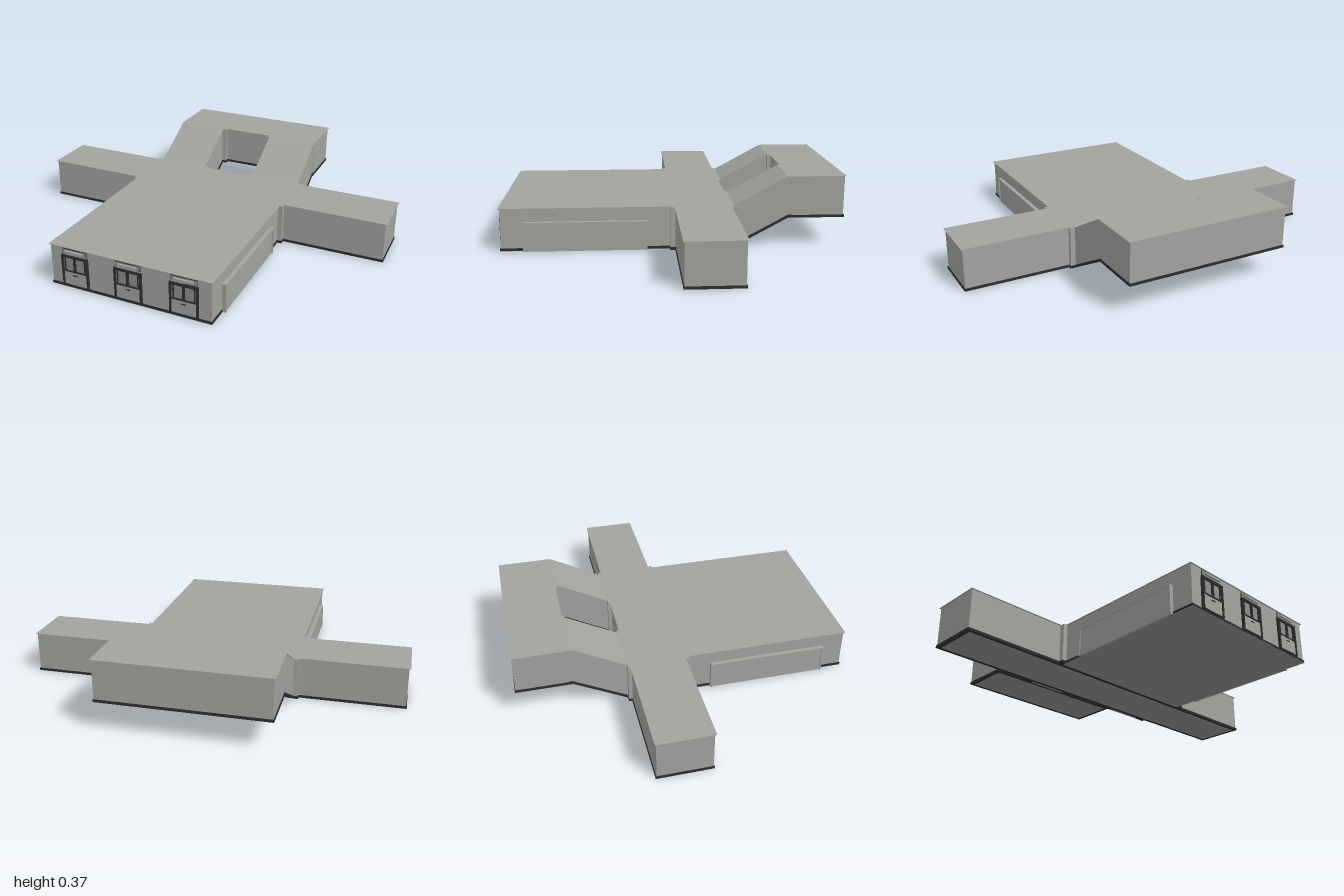
import * as THREE from 'three';

const mat = (name, color) => {
  const m = new THREE.MeshStandardMaterial({ color });
  m.name = name;
  return m;
};

export function createModel() {
  const wall = mat('wallGrey', 0xa2a29f);
  const floor = mat('floorGrey', 0x8c8c8c);
  const trim = mat('trimBlack', 0x2e2e2e);
  const panel = mat('doorGrey', 0x8e8e8b);

  const model = new THREE.Group();
  model.name = 'stationBuilding';

  // Box given by its two opposite corners
  function box(name, m, x0, x1, y0, y1, z0, z1, parent = model) {
    const g = new THREE.BoxGeometry(x1 - x0, y1 - y0, z1 - z0);
    const mesh = new THREE.Mesh(g, m);
    mesh.position.set((x0 + x1) / 2, (y0 + y1) / 2, (z0 + z1) / 2);
    mesh.name = name;
    parent.add(mesh);
    return mesh;
  }

  // Side profile of [-z, y] points, extruded along x
  function profile(name, m, points, x0, x1) {
    const shape = new THREE.Shape(points.map(([s, y]) => new THREE.Vector2(s, y)));
    const g = new THREE.ExtrudeGeometry(shape, { depth: x1 - x0, bevelEnabled: false });
    g.rotateY(Math.PI / 2);
    const mesh = new THREE.Mesh(g, m);
    mesh.position.x = x0;
    mesh.name = name;
    model.add(mesh);
  }

  // A block with walls, overhanging thin roof, skirting and floor plate
  function block(name, w, y0, y1, z0, z1, border) {
    const g = new THREE.Group();
    g.name = name;
    model.add(g);
    const o = 0.007, k = 0.004;
    box('walls', wall, -w, w, y0 + 0.01, y1 - 0.001, z0, z1, g);
    box('roof', wall, -w - o, w + o, y1 - 0.002, y1, z0 - o, z1 + o, g);
    box('skirting', trim, -w - k, w + k, y0 + 0.001, y0 + 0.014, z0 - k, z1 + k, g);
    const b = border - k;
    box('floorPlate', floor, -w + b, w - b, y0, y0 + 0.002, z0 + b, z1 - b, g);
  }

  block('mainHall', 0.426, 0, 0.22, -0.005, 0.856, 0);
  block('crossCorridor', 0.993, 0, 0.22, -0.29, -0.018, 0.02);
  block('upperCorridor', 0.424, 0.15, 0.365, -0.866, -0.595, 0.02);

  // Sloping stair passages between the two levels
  const slope = (s) => (s - 0.31) * (0.15 / 0.275);
  const steps = 14, run = 0.275 / steps, rise = 0.15 / steps;
  const stairs = [];
  for (let i = 0; i < steps; i++) {
    const s = 0.31 + i * run, y = slope(s) + rise + 0.001;
    stairs.push([s, y], [s + run, y]);
  }
  stairs.push([0.585, 0.19], [0.31, 0.04]);

  for (const side of [-1, 1]) {
    const span = (a, b) => (side > 0 ? [a, b] : [-b, -a]);

    profile('stairPassage', wall, [
      [0.28, 0.014], [0.31, 0.014], [0.585, 0.164], [0.61, 0.164],
      [0.61, 0.363], [0.579, 0.363], [0.312, 0.218], [0.28, 0.218],
    ], ...span(0.156, 0.422));
    profile('stairRoof', wall, [
      [0.29, 0.218], [0.312, 0.218], [0.579, 0.363], [0.6, 0.363],
      [0.6, 0.365], [0.578, 0.365], [0.311, 0.22], [0.29, 0.22],
    ], ...span(0.151, 0.427));
    profile('stairUnderside', floor, stairs, ...span(0.165, 0.413));
    for (const [a, b] of [[0.152, 0.174], [0.404, 0.426]]) {
      profile('stairStringer', trim, [
        [0.285, 0.001], [0.31, 0.001], [0.585, 0.151], [0.605, 0.151],
        [0.605, 0.166], [0.585, 0.166], [0.31, 0.016], [0.285, 0.016],
      ], ...span(a, b));
    }

    // Corner pillars with dark feet
    for (const [x, z, y0, y1] of [
      [0.438, -0.002, 0, 0.219], [0.438, -0.296, 0, 0.219],
      [0.143, -0.296, 0, 0.219], [0.143, -0.588, 0.147, 0.363],
    ]) {
      const c = side * x, r = 0.013;
      box('cornerPillar', wall, c - r, c + r, y0 + 0.008, y1, z - r, z + r);
      box('pillarFoot', trim, c - r - 0.002, c + r + 0.002, y0, y0 + 0.014, z - r - 0.002, z + r + 0.002);
    }

    // Long side bay with a raised rim
    box('sideBay', wall, ...span(0.42, 0.442), 0, 0.15, 0.125, 0.745);
    box('bayRim', wall, ...span(0.44, 0.447), 0.14, 0.15, 0.125, 0.745);
    for (const z of [0.125, 0.735]) {
      box('bayRim', wall, ...span(0.44, 0.447), 0, 0.14, z, z + 0.01);
    }
  }

  // Three front entrances
  for (const cx of [-0.29, 0, 0.29]) {
    const door = new THREE.Group();
    door.name = 'entrance';
    door.position.x = cx;
    model.add(door);
    const part = (name, m, x0, x1, y0, y1, z1) => box(name, m, x0, x1, y0, y1, 0.85, z1, door);
    part('doorPanel', panel, -0.068, 0.068, 0.014, 0.18, 0.860);
    part('lowerPanel', wall, -0.062, 0.062, 0.02, 0.09, 0.864);
    part('doorSill', trim, -0.07, 0.07, 0.012, 0.018, 0.866);
    part('topBar', trim, -0.07, 0.07, 0.168, 0.18, 0.868);
    part('middleBar', trim, -0.062, 0.062, 0.091, 0.097, 0.867);
    part('centrePost', trim, -0.006, 0.006, 0.097, 0.17, 0.868);
    part('handle', trim, -0.012, 0.012, 0.072, 0.076, 0.868);
    for (const s of [-1, 1]) {
      const x = s * 0.068;
      part('doorPost', trim, x - 0.005, x + 0.005, 0.012, 0.18, 0.868);
      part('windowBar', trim, s * 0.054 - 0.003, s * 0.054 + 0.003, 0.097, 0.17, 0.864);
    }
    part('headerFrame', trim, -0.067, 0.067, 0.185, 0.212, 0.859);
    part('headerPanel', panel, -0.064, 0.064, 0.188, 0.209, 0.861);
    part('headerLight', wall, -0.05, 0.05, 0.193, 0.204, 0.871);
  }

  return model;
}
